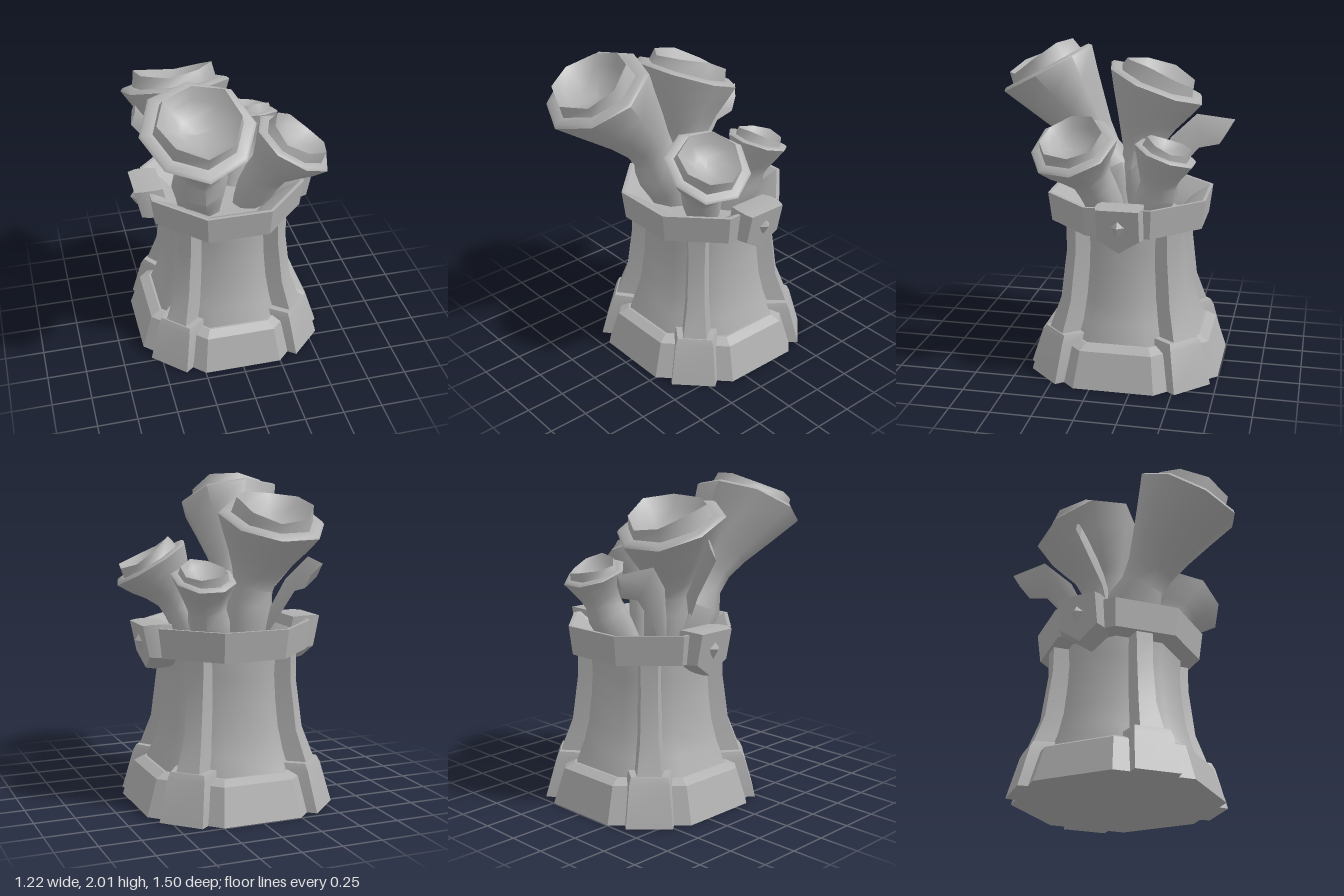
import * as THREE from 'three';
import { toCreasedNormals } from 'three/addons/utils/BufferGeometryUtils.js';

const V = (x, y, z) => new THREE.Vector3(x, y, z);
const POT_Z = -0.148;

// Skin through closed rings that all have the same number of points
function loft(rings, crease) {
  const n = rings[0].length, pos = [], index = [];
  rings.forEach(r => r.forEach(p => pos.push(p.x, p.y, p.z)));
  for (let j = 0; j < rings.length - 1; j++) {
    for (let i = 0; i < n; i++) {
      const a = j * n + i, b = j * n + (i + 1) % n;
      index.push(a, b, b + n, a, b + n, a + n);
    }
  }
  const top = (rings.length - 1) * n;
  for (let i = 1; i < n - 1; i++) {
    index.push(0, i + 1, i, top, top + i, top + i + 1);
  }
  const g = new THREE.BufferGeometry();
  g.setAttribute('position', new THREE.Float32BufferAttribute(pos, 3));
  g.setIndex(index);
  return toCreasedNormals(g, crease);
}

// Eight-sided turned shape; profile pairs are [distance to flat side, height]
function octagon(profile, crease) {
  const k = 1 / Math.cos(Math.PI / 8);
  const pts = profile.map(([r, y]) => new THREE.Vector2(r * k, y));
  return toCreasedNormals(new THREE.LatheGeometry(pts, 8, Math.PI / 8), crease);
}

// Upright tapered post facing +z; rows are [y, inner, outer, inner half width, outer half width]
function post(rows) {
  return loft(rows.map(([y, a, b, wa, wb]) =>
    [V(-wa, y, a), V(-wb, y, b), V(wb, y, b), V(wa, y, a)]), 0.3);
}

// Flaring rolled trumpet: stem rings along a curve, then lip, ragged inner roll and hollow
function trumpet(points, normal, radii, seed) {
  const SIDES = 8, R = radii[radii.length - 1];
  const curve = new THREE.CatmullRomCurve3(points);
  const n = normal.clone().normalize(), end = points[points.length - 1];
  const ring = (c, t, r, lift = 0) => {
    const u = V(1, 0, 0).addScaledVector(t, -t.x).normalize();
    const v = new THREE.Vector3().crossVectors(t, u);
    return Array.from({ length: SIDES }, (_, i) => {
      const a = (i + 0.35 * seed) / SIDES * Math.PI * 2;
      const s = r * (1 + 0.03 * Math.sin(3 * a + seed));
      return c.clone().addScaledVector(u, s * Math.cos(a)).addScaledVector(v, s * Math.sin(a))
        .addScaledVector(t, lift * Math.sin(2 * a + seed));
    });
  };
  const rings = radii.map((r, i) => {
    const t = i / (radii.length - 1);
    const dir = curve.getTangent(t).lerp(n, t * t).normalize();
    return ring(curve.getPoint(t), dir, r);
  });
  // [height, radius, raggedness] as fractions of the mouth radius
  const mouth = [[0.05, 0.95, 0], [0.05, 0.77, 0], [0.28, 0.72, 0.07],
    [0.1, 0.56, 0.02], [-0.06, 0.3, 0], [-0.12, 0.02, 0]];
  mouth.forEach(([h, r, l]) => rings.push(ring(end.clone().addScaledVector(n, h * R), n, r * R, l * R)));
  return loft(rings, 0.95);
}

// Thin blade; rows are [upper edge point, lower edge point], s is the half thickness
function blade(rows, s) {
  return loft(rows.map(([a, b]) => {
    const m = a.clone().add(b).multiplyScalar(0.5);
    return [a, m.clone().add(s), b, m.clone().sub(s)];
  }), 0.6);
}

export function createModel() {
  const model = new THREE.Group();
  const grey = new THREE.MeshStandardMaterial({ color: 0xb0b0b0, side: THREE.DoubleSide });
  grey.name = 'plain grey';
  const add = (parent, name, geometry) => {
    const m = new THREE.Mesh(geometry, grey);
    m.name = name;
    parent.add(m);
    return m;
  };

  // Pot
  const pot = new THREE.Group();
  pot.name = 'pot';
  pot.position.z = POT_Z;
  model.add(pot);
  add(pot, 'foot', octagon([[0, 0], [0.598, 0], [0.53, 0.22], [0.47, 0.25], [0.4, 0.25]], 0.3));
  add(pot, 'body', octagon([[0.46, 0.24], [0.415, 0.36], [0.38, 0.5], [0.36, 0.68], [0.352, 0.82], [0.36, 0.95]], 0.9));
  add(pot, 'rim', octagon([[0.34, 0.93], [0.468, 0.94], [0.49, 1.12], [0.47, 1.12], [0.36, 1.05],
    [0.3, 0.98], [0, 0.96]], 0.3));

  // Corner ribs with heavy feet
  for (let k = 0; k < 4; k++) {
    const angle = Math.PI / 4 + k * Math.PI / 2;
    add(pot, 'rib', post([[0.27, 0.38, 0.57, 0.1, 0.075], [0.48, 0.33, 0.49, 0.085, 0.055],
      [0.78, 0.32, 0.45, 0.075, 0.05], [0.95, 0.32, 0.45, 0.075, 0.053]])).rotation.y = angle;
    add(pot, 'ribFoot', post([[0, 0.4, 0.66, 0.165, 0.138],
      [0.25, 0.38, 0.59, 0.15, 0.118], [0.29, 0.38, 0.57, 0.14, 0.108]])).rotation.y = angle;
  }

  // Shield and stud on each side of the rim
  const outline = [[-0.14, 1.14], [-0.14, 0.94], [0, 0.85], [0.14, 0.94], [0.14, 1.14]];
  const shieldRing = (depth, s) => outline.map(([x, y]) =>
    V(x * s, 1.02 + (y - 1.02) * (0.5 + s / 2), depth + 0.2 * (y - 1.14)));
  for (const side of [1, -1]) {
    const badge = new THREE.Group();
    badge.name = side > 0 ? 'leftBadge' : 'rightBadge';
    badge.rotation.y = side * Math.PI / 2;
    badge.position.z = -0.018;
    pot.add(badge);
    add(badge, 'shield', loft([shieldRing(0.4, 0.9), shieldRing(0.46, 1), shieldRing(0.53, 1), shieldRing(0.58, 0.9)], 0.3));
    const stud = add(badge, 'stud', toCreasedNormals(new THREE.OctahedronGeometry(1), 0.2));
    stud.scale.set(0.05, 0.065, 0.04);
    stud.position.set(0, 1.03, 0.55);
  }

  // Trumpets
  add(model, 'frontRightTrumpet', trumpet(
    [V(-0.16, 0.95, -0.06), V(-0.185, 1.25, 0.06), V(-0.2, 1.5, 0.2), V(-0.275, 1.815, 0.452)],
    V(0, 0.88, 0.48), [0.14, 0.155, 0.18, 0.14, 0.155, 0.2, 0.265, 0.335], 0));
  add(model, 'backRightTrumpet', trumpet(
    [V(-0.13, 0.95, -0.18), V(-0.17, 1.25, -0.17), V(-0.22, 1.48, -0.19), V(-0.275, 1.74, -0.25)],
    V(-0.03, 0.93, -0.36), [0.11, 0.13, 0.14, 0.125, 0.16, 0.21, 0.275, 0.335], 2));
  add(model, 'frontLeftTrumpet', trumpet(
    [V(0.14, 0.95, -0.04), V(0.21, 1.18, 0.04), V(0.29, 1.33, 0.1), V(0.38, 1.46, 0.14)],
    V(0.5, 0.85, 0.14), [0.1, 0.12, 0.125, 0.13, 0.175, 0.225, 0.265], 3));
  add(model, 'backLeftTrumpet', trumpet(
    [V(0.12, 0.95, -0.24), V(0.18, 1.15, -0.34), V(0.21, 1.28, -0.36), V(0.235, 1.41, -0.395)],
    V(0.03, 0.93, -0.33), [0.1, 0.12, 0.125, 0.115, 0.135, 0.165, 0.197], 4));

  // Blades among the stems
  add(model, 'backBlade', blade([
    [V(-0.22, 1.1, -0.22), V(-0.2, 0.96, -0.24)],
    [V(-0.32, 1.38, -0.34), V(-0.26, 1.16, -0.38)],
    [V(-0.39, 1.53, -0.5), V(-0.29, 1.33, -0.53)],
    [V(-0.36, 1.51, -0.75), V(-0.29, 1.36, -0.66)]], V(0.018, 0.006, 0)));
  add(model, 'sideBlade', blade([
    [V(-0.15, 1.15, -0.12), V(-0.2, 0.96, -0.08)],
    [V(-0.29, 1.5, -0.14), V(-0.36, 1.3, -0.1)],
    [V(-0.52, 1.7, -0.2), V(-0.56, 1.55, -0.16)]], V(0.008, 0.004, 0.016)));
  return model;
}
